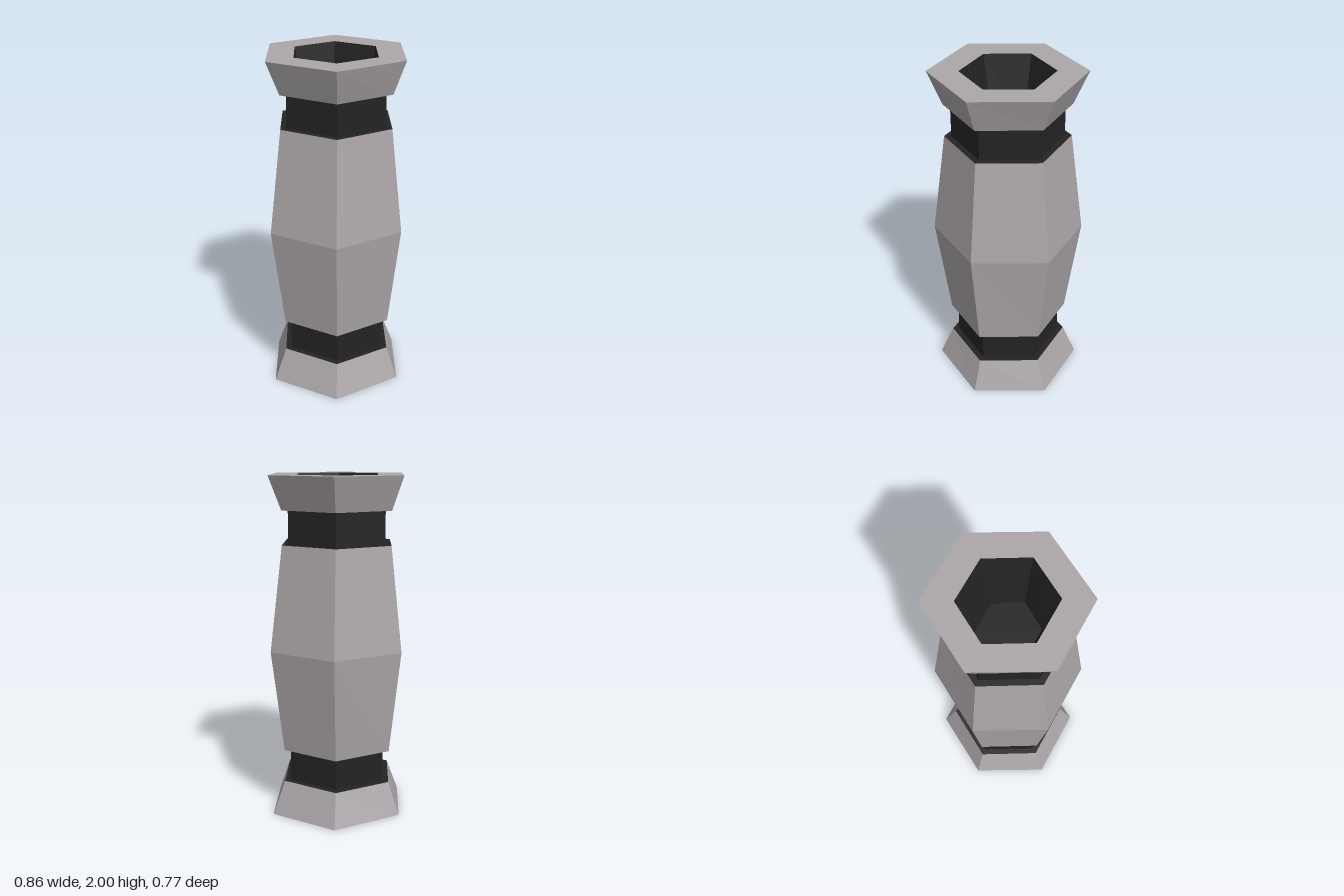
import * as THREE from 'three';

const paint = (name, color) => {
  const m = new THREE.MeshStandardMaterial({ color, flatShading: true });
  m.name = name;
  return m;
};

// Six-sided turned part with corners on the x axis.
// Each ring is [corner radius, height, optional depth factor].
function hexPart(name, rings, material) {
  const points = rings.map(([r, y]) => new THREE.Vector2(r, y));
  const indexed = new THREE.LatheGeometry(points, 6, Math.PI / 6);
  const pos = indexed.attributes.position;
  for (let i = 0; i < pos.count; i++) {
    pos.setZ(i, pos.getZ(i) * (rings[i % rings.length][2] ?? 1));
  }
  const geometry = indexed.toNonIndexed();
  geometry.computeVertexNormals();
  const mesh = new THREE.Mesh(geometry, material);
  mesh.name = name;
  return mesh;
}

export function createModel() {
  const grey = paint('warm grey', 0xaca6a9);
  const black = paint('soft black', 0x232323);
  const group = new THREE.Group();
  group.name = 'hexagonalHandle';

  const wide = 1.025; // widest rings are slightly deeper
  const mirror = (rings) => rings.map(([r, y, k]) => [r, 2 - y, k]).reverse();

  // Parts of the lower end, repeated upside down at the upper end
  const collar = [[0.265, 0], [0.431, 0, wide], [0.357, 0.195]];
  const neck = [[0.357, 0.195], [0.317, 0.195], [0.317, 0.39], [0.357, 0.39]];
  const socket = [[0, 0.39], [0.19, 0.39, 0.935], [0.265, 0]];

  for (const [end, shape] of [['lower', (r) => r], ['upper', mirror]]) {
    group.add(hexPart(end + 'Collar', shape(collar), grey));
    group.add(hexPart(end + 'Neck', shape(neck), black));
    group.add(hexPart(end + 'Socket', shape(socket), black));
  }

  // Bulging grip between the necks
  group.add(hexPart('grip', [[0.357, 0.39], [0.431, 1, wide], [0.357, 1.61]], grey));
  return group;
}
